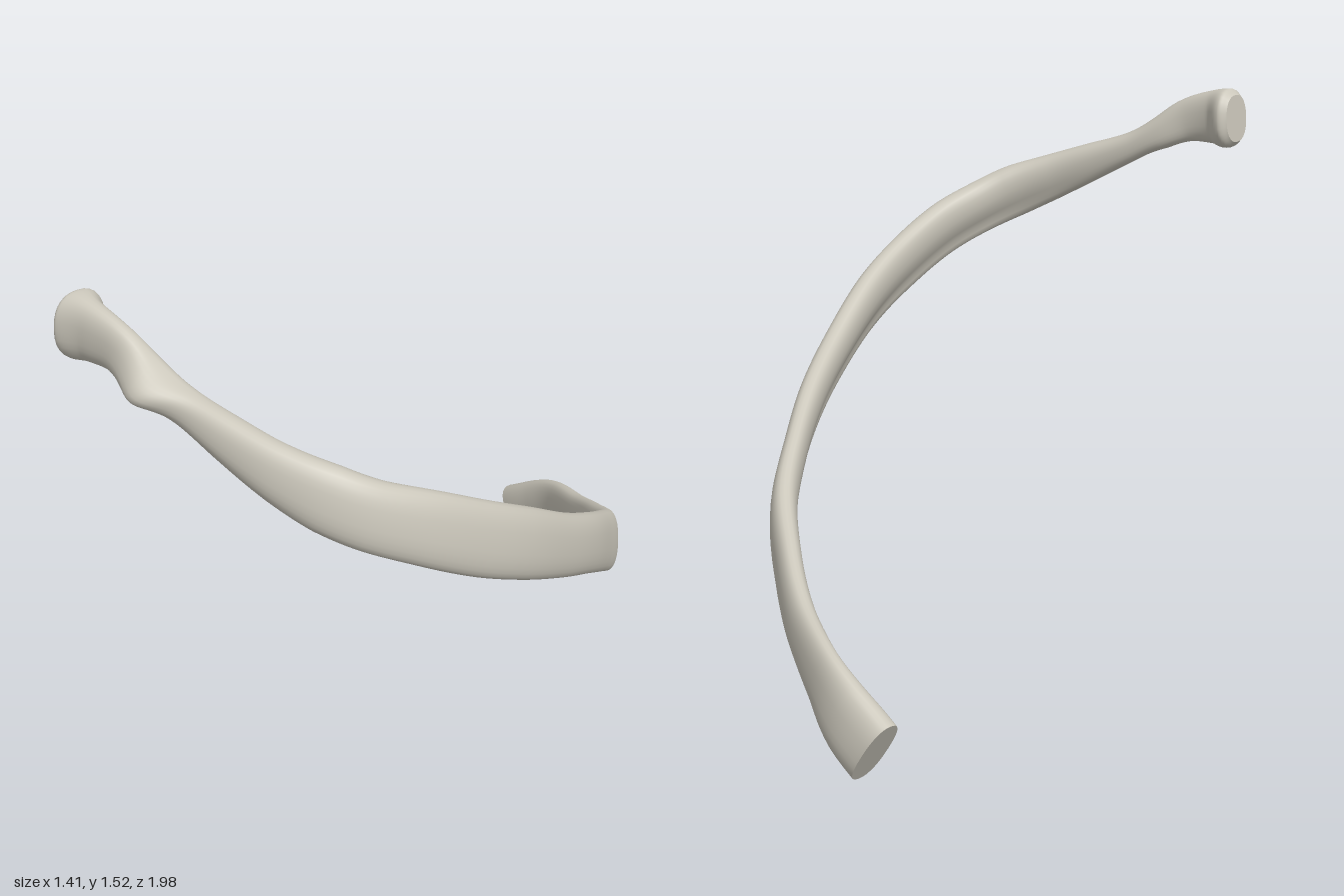
import * as THREE from 'three';

// Stations along the bone: x, y, z, height, thickness, tilt (top edge leaning inward)
const STATIONS = [
  [0.335, 0.105, -0.95, 0.205, 0.098, 0.15],
  [0.415, 0.17, -0.87, 0.205, 0.088, 0.15],
  [0.48, 0.23, -0.77, 0.19, 0.07, 0.1],
  [0.56, 0.3, -0.58, 0.165, 0.072, 0.1],
  [0.61, 0.37, -0.4, 0.175, 0.072, 0.1],
  [0.645, 0.455, -0.2, 0.185, 0.076, 0.1],
  [0.632, 0.56, 0, 0.178, 0.07, 0.1],
  [0.6, 0.665, 0.2, 0.172, 0.075, 0.12],
  [0.54, 0.767, 0.4, 0.175, 0.08, 0.15],
  [0.45, 0.88, 0.6, 0.19, 0.085, 0.18],
  [0.35, 0.965, 0.74, 0.195, 0.085, 0.2],
  [0.225, 1.05, 0.855, 0.19, 0.088, 0.22],
  [0.1, 1.11, 0.92, 0.18, 0.09, 0.22],
  [0, 1.155, 0.935, 0.175, 0.09, 0.22],
  [-0.12, 1.205, 0.918, 0.15, 0.088, 0.2],
  [-0.25, 1.265, 0.872, 0.12, 0.085, 0.15],
  [-0.37, 1.323, 0.818, 0.092, 0.08, 0.1],
  [-0.46, 1.375, 0.775, 0.1, 0.075, 0],
  [-0.55, 1.425, 0.735, 0.135, 0.068, 0],
  [-0.625, 1.443, 0.69, 0.165, 0.09, 0],
  [-0.67, 1.446, 0.652, 0.182, 0.145, 0],
  [-0.69, 1.448, 0.636, 0.145, 0.11, 0],
];
const SIDES = 28;
const RINGS = 168;
const UP = new THREE.Vector3(0, 1, 0);
const TUBERCLE = new THREE.Vector3(-0.45, 1.345, 0.82);

const bump = (d, width) => Math.exp(-(d * d) / (width * width));
const power = (v, e) => Math.sign(v) * Math.abs(v) ** e;

// Cross-section rings swept along the curve, each a list of points
function makeRings() {
  const path = new THREE.CatmullRomCurve3(STATIONS.map((s) => new THREE.Vector3(s[0], s[1], s[2])));
  const size = new THREE.CatmullRomCurve3(STATIONS.map((s) => new THREE.Vector3(s[3], s[4], s[5])));
  const rings = [];
  for (let i = 0; i <= RINGS; i++) {
    const u = i / RINGS;
    const center = path.getPoint(u);
    const s = size.getPoint(u);
    const tangent = path.getTangent(u);
    const out = new THREE.Vector3().crossVectors(UP, tangent).normalize();
    const rise = new THREE.Vector3().crossVectors(tangent, out);
    out.applyAxisAngle(tangent, s.z);
    rise.applyAxisAngle(tangent, s.z);
    const shaft = THREE.MathUtils.smoothstep(u, 0.12, 0.25) * (1 - THREE.MathUtils.smoothstep(u, 0.55, 0.75));
    const ring = [];
    for (let j = 0; j < SIDES; j++) {
      const a = (j / SIDES) * Math.PI * 2;
      const c = power(Math.cos(a), 0.85);
      const v = power(Math.sin(a), 0.85);
      let w = c * s.y * 0.5 * (1 + 0.12 * v * shaft);
      // shallow groove low on the inner face
      if (c < 0) w += 0.012 * shaft * bump(v + 0.45, 0.3);
      const p = center.clone().addScaledVector(out, w).addScaledVector(rise, v * s.x * 0.5);
      // knob on the outer side near the head
      const knob = Math.max(0, c) * bump(center.x - TUBERCLE.x, 0.065) * bump(p.y - TUBERCLE.y, 0.09);
      p.addScaledVector(out, 0.055 * knob);
      p.y -= 0.015 * knob;
      ring.push(p);
    }
    rings.push(ring);
  }
  return rings;
}

function toGeometry(points, index) {
  const g = new THREE.BufferGeometry().setFromPoints(points);
  g.setIndex(index);
  g.computeVertexNormals();
  return g;
}

// Smooth skin joining all rings
function skin(rings) {
  const index = [];
  for (let i = 0; i < rings.length - 1; i++) {
    for (let j = 0; j < SIDES; j++) {
      const k = (j + 1) % SIDES;
      const a = i * SIDES + j, b = i * SIDES + k;
      index.push(a, b, a + SIDES, b, b + SIDES, a + SIDES);
    }
  }
  return toGeometry(rings.flat(), index);
}

// Fan closing one end
function cap(ring, reverse) {
  const middle = new THREE.Vector3();
  ring.forEach((p) => middle.addScaledVector(p, 1 / SIDES));
  const index = [];
  for (let j = 0; j < SIDES; j++) {
    const k = (j + 1) % SIDES;
    if (reverse) index.push(SIDES, k, j);
    else index.push(SIDES, j, k);
  }
  return toGeometry([...ring, middle], index);
}

export function createModel() {
  const bone = new THREE.MeshStandardMaterial({ color: 0xcbc7bb });
  bone.name = 'bone';
  const group = new THREE.Group();
  group.name = 'rib';
  const rings = makeRings();
  const add = (name, geometry) => {
    const mesh = new THREE.Mesh(geometry, bone);
    mesh.name = name;
    group.add(mesh);
  };
  add('shaft', skin(rings));
  add('frontEnd', cap(rings[0], true));
  add('headFace', cap(rings[RINGS], false));
  return group;
}
